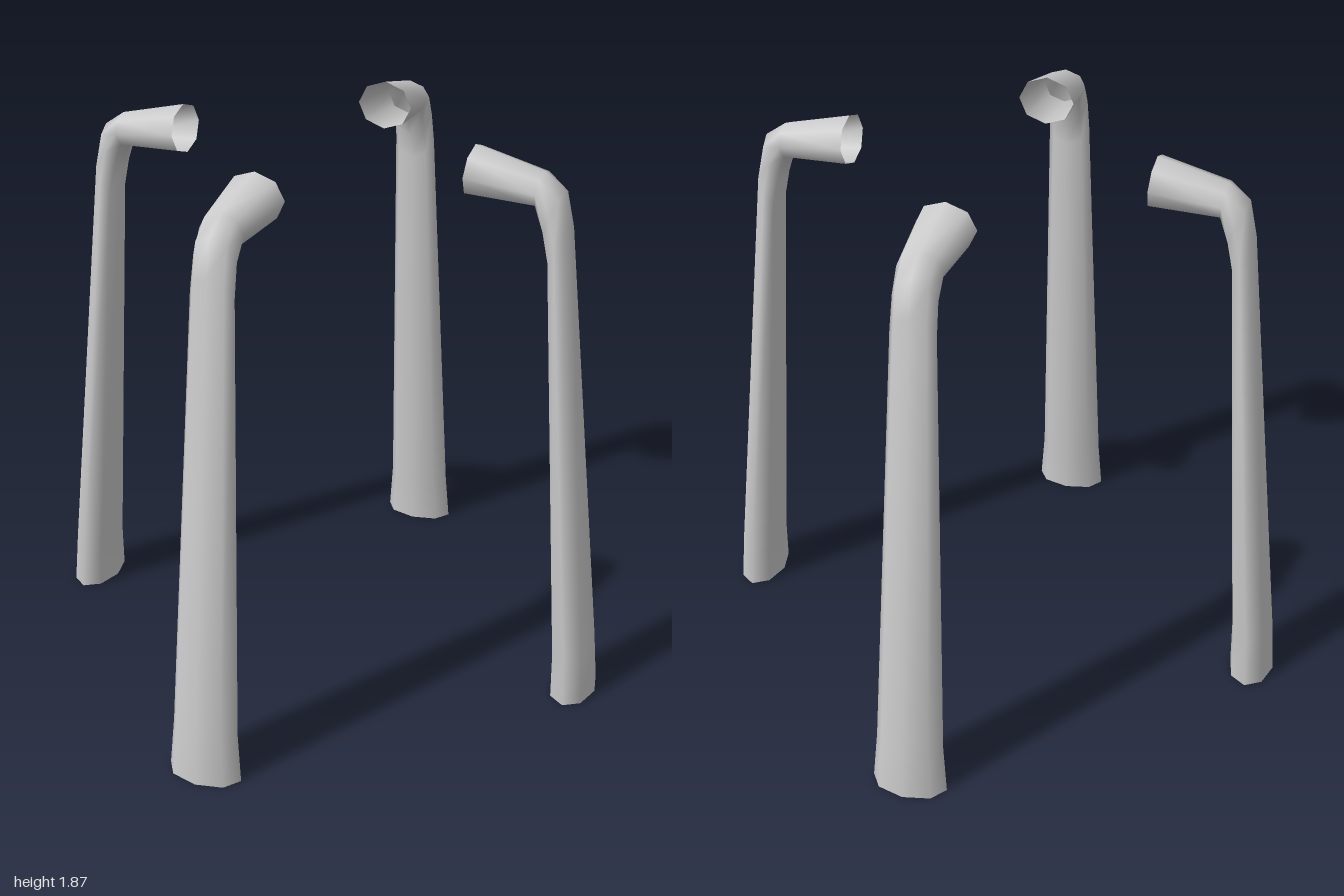
import * as THREE from 'three';

const SIDES = 8;

// Sections along one leg: [outer x, outer y, inner x, inner y, half width]
const SECTIONS = [
  [1.0, 0, 0.85, 0, 0.125],
  [0.985, 0.185, 0.847, 0.15, 0.112],
  [0.823, 1.645, 0.755, 1.52, 0.072],
  [0.797, 1.762, 0.735, 1.61, 0.07],
  [0.727, 1.81, 0.714, 1.698, 0.072],
  [0.503, 1.865, 0.493, 1.704, 0.095],
];

// Open, smooth-shaded loft through eight-sided elliptical sections
function legGeometry() {
  const positions = [];
  const index = [];
  SECTIONS.forEach(([ox, oy, ix, iy, halfWidth], row) => {
    for (let j = 0; j < SIDES; j++) {
      const angle = (j / SIDES) * Math.PI * 2;
      const t = (1 + Math.cos(angle)) / 2;
      positions.push(ix + (ox - ix) * t, iy + (oy - iy) * t, Math.sin(angle) * halfWidth);
      if (row === SECTIONS.length - 1) continue;
      const a = row * SIDES + j;
      const b = row * SIDES + ((j + 1) % SIDES);
      index.push(a, a + SIDES, b, b, a + SIDES, b + SIDES);
    }
  });
  const geometry = new THREE.BufferGeometry();
  geometry.setAttribute('position', new THREE.Float32BufferAttribute(positions, 3));
  geometry.setIndex(index);
  geometry.computeVertexNormals();
  return geometry;
}

export function createModel() {
  const group = new THREE.Group();
  group.name = 'legSet';
  const material = new THREE.MeshStandardMaterial({ color: 0xcccccc, side: THREE.DoubleSide });
  const geometry = legGeometry();

  // Four identical legs, a quarter turn apart, with their bent tops facing the centre
  ['leftLeg', 'backLeg', 'rightLeg', 'frontLeg'].forEach((name, i) => {
    const leg = new THREE.Mesh(geometry, material);
    leg.name = name;
    leg.rotation.y = (i * Math.PI) / 2;
    group.add(leg);
  });
  return group;
}
